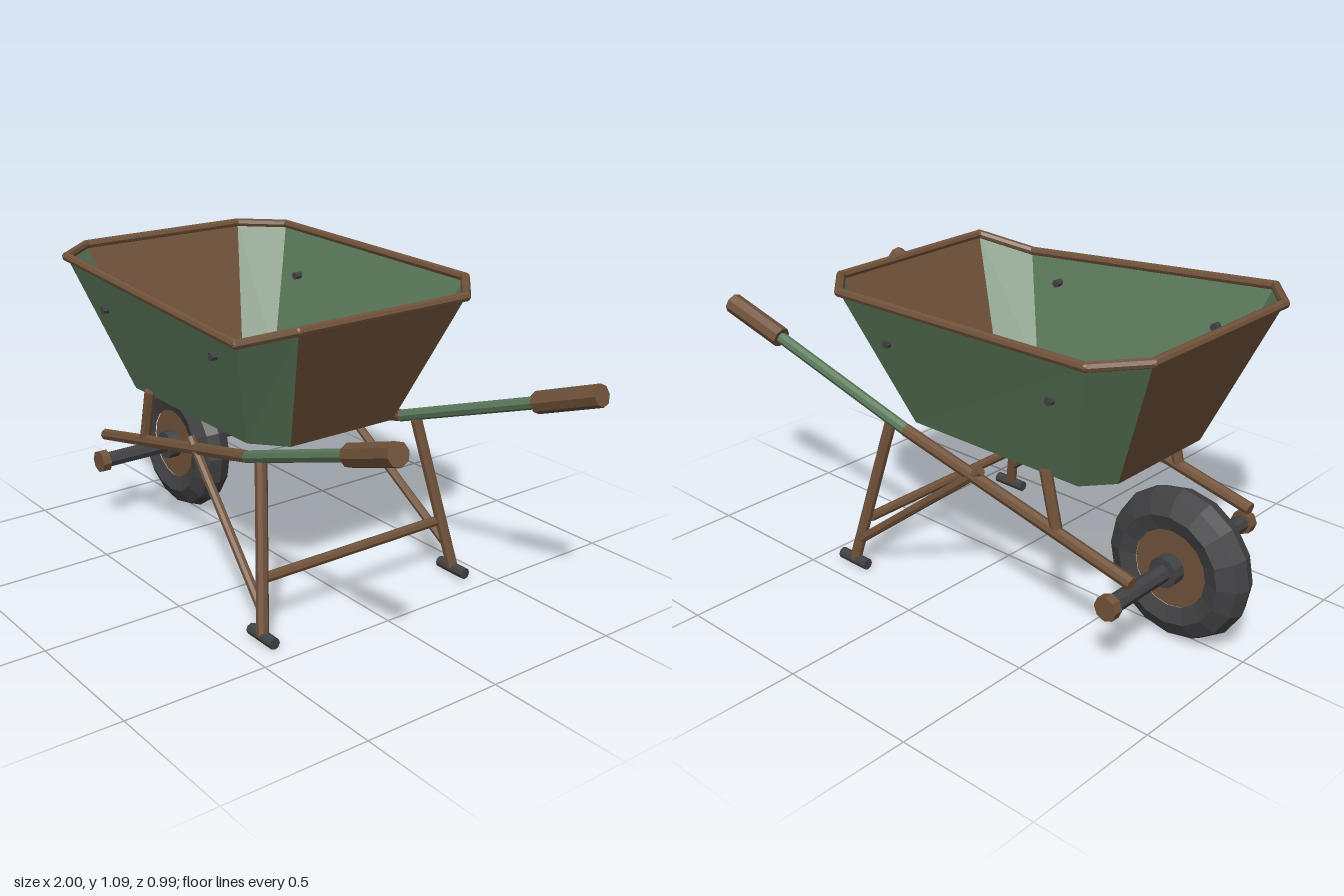
import * as THREE from 'three';

const mat = (name, color, extra = {}) =>
  Object.assign(new THREE.MeshStandardMaterial({ color, flatShading: true, ...extra }), { name });

export function createModel() {
  const green = mat('greenPaint', 0x5c7a5b, { side: THREE.DoubleSide });
  const rust = mat('rust', 0x70523a, { side: THREE.DoubleSide });
  const rubber = mat('darkRubber', 0x424244);
  const root = new THREE.Group();
  root.name = 'wheelbarrow';

  const add = (parent, name, geo, material) => {
    const m = new THREE.Mesh(geo, material);
    m.name = name;
    parent.add(m);
    return m;
  };
  const group = (name) => {
    const g = new THREE.Group();
    g.name = name;
    root.add(g);
    return g;
  };
  // Straight round bar between two points
  const bar = (parent, name, a, b, r, material, sides = 8) => {
    const p = new THREE.Vector3(...a), q = new THREE.Vector3(...b);
    const d = q.clone().sub(p);
    const m = add(parent, name, new THREE.CylinderGeometry(r, r, d.length(), sides), material);
    m.position.copy(p).add(q).multiplyScalar(0.5);
    m.quaternion.setFromUnitVectors(new THREE.Vector3(0, 1, 0), d.normalize());
    return m;
  };
  // Flat polygon drawn as a triangle fan
  const polygon = (pts) => {
    const v = [];
    for (let i = 1; i < pts.length - 1; i++) v.push(...pts[0], ...pts[i], ...pts[i + 1]);
    const g = new THREE.BufferGeometry();
    g.setAttribute('position', new THREE.Float32BufferAttribute(v, 3));
    g.computeVertexNormals();
    return g;
  };

  // Tub: eight walls between the floor outline and the bent rim outline
  const tub = group('tub');
  const floorY = 0.59;
  const base = [[0.25, 0.215], [0.25, -0.215], [0.14, -0.31], [-0.565, -0.31],
    [-0.645, -0.215], [-0.645, 0.215], [-0.565, 0.31], [0.14, 0.31]].map(([x, z]) => [x, floorY, z]);
  const rim = [[0.455, 1.043, 0.335], [0.455, 1.043, -0.335], [0.295, 1.055, -0.482], [-0.72, 1.07, -0.482],
    [-0.843, 1.073, -0.335], [-0.843, 1.073, 0.335], [-0.72, 1.07, 0.478], [0.295, 0.985, 0.45]];
  base.forEach((b, i) => {
    const j = (i + 1) % 8;
    const isEnd = i === 0 || i === 4;
    add(tub, isEnd ? 'endWall' : 'sideWall', polygon([b, base[j], rim[j], rim[i]]), isEnd ? rust : green);
    bar(tub, 'rimBar', rim[i], rim[j], 0.016, rust, 8);
    const joint = add(tub, 'rimCorner', new THREE.IcosahedronGeometry(0.016, 1), rust);
    joint.position.set(...rim[i]);
  });
  add(tub, 'floor', polygon(base.map(([x, y, z]) => [x, y + 0.004, z])), green);
  add(tub, 'underside', polygon([...base].reverse()), rust);

  // Rust patches lying on the floor
  [
    [[-0.487, 0.067], [-0.353, 0.051], [-0.326, 0.088], [-0.358, 0.131], [-0.428, 0.147], [-0.47, 0.099]],
    [[-0.043, -0.168], [0.037, -0.184], [0.07, -0.158], [0.016, -0.115], [-0.027, -0.131]],
    [[-0.235, -0.035], [-0.203, -0.056], [-0.16, -0.035], [-0.176, -0.008], [-0.225, -0.013]],
  ].forEach((p) => add(tub, 'rustPatch',
    polygon(p.map(([x, z]) => [x, floorY + 0.008, z]).reverse()), rust));

  // Wheel: faceted tyre, rusty disc and hub on a cross axle
  const wheel = group('wheel');
  wheel.position.set(-0.74, 0.263, 0);
  const tyre = [[0.135, -0.055], [0.19, -0.073], [0.245, -0.045], [0.262, 0],
    [0.245, 0.045], [0.19, 0.073], [0.135, 0.055]].map(([r, y]) => new THREE.Vector2(r, y));
  add(wheel, 'tyre', new THREE.LatheGeometry(tyre, 16), rubber).rotation.x = Math.PI / 2;
  bar(wheel, 'wheelDisc', [0, 0, -0.05], [0, 0, 0.05], 0.137, rust, 16);
  bar(wheel, 'hub', [0, 0, -0.095], [0, 0, 0.095], 0.053, rubber, 12);
  bar(wheel, 'axle', [0, 0, -0.36], [0, 0, 0.36], 0.03, rubber, 8);

  // Frame parts repeated on both sides
  for (const s of [1, -1]) {
    const side = group(s > 0 ? 'frontFrame' : 'backFrame');
    bar(side, 'axleCap', [-0.74, 0.263, s * 0.352], [-0.74, 0.263, s * 0.385], 0.042, rust, 8);

    // Handle: rusty rail, painted shaft and grip
    const bend = [0.17, 0.558, s * 0.328], gripStart = [0.75, 0.757, s * 0.377];
    bar(side, 'rail', [-0.79, 0.345, s * 0.322], bend, 0.022, rust);
    bar(side, 'shaft', bend, gripStart, 0.021, green);
    bar(side, 'grip', gripStart, [0.984, 0.839, s * 0.402], 0.037, rust);

    // Leg, foot, diagonal brace and tub strut
    bar(side, 'leg', [0.245, 0.565, s * 0.328], [0.365, 0.025, s * 0.413], 0.021, rust);
    bar(side, 'foot', [0.302, 0.022, s * 0.413], [0.432, 0.022, s * 0.413], 0.02, rubber);
    bar(side, 'brace', [-0.175, 0.518, s * 0.325], [0.35, 0.1, s * 0.403], 0.016, rust);
    bar(side, 'strut', [-0.445, 0.612, s * 0.322], [-0.492, 0.42, s * 0.322], 0.02, rust);

    // Bolts through the tub wall
    for (const x of [-0.55, 0.135])
      bar(side, 'bolt', [x, 0.905, s * 0.395], [x, 0.905, s * 0.44], 0.014, rubber);
  }
  bar(root, 'crossBar', [0.315, 0.195, -0.375], [0.315, 0.195, 0.375], 0.018, rust);

  return root;
}
